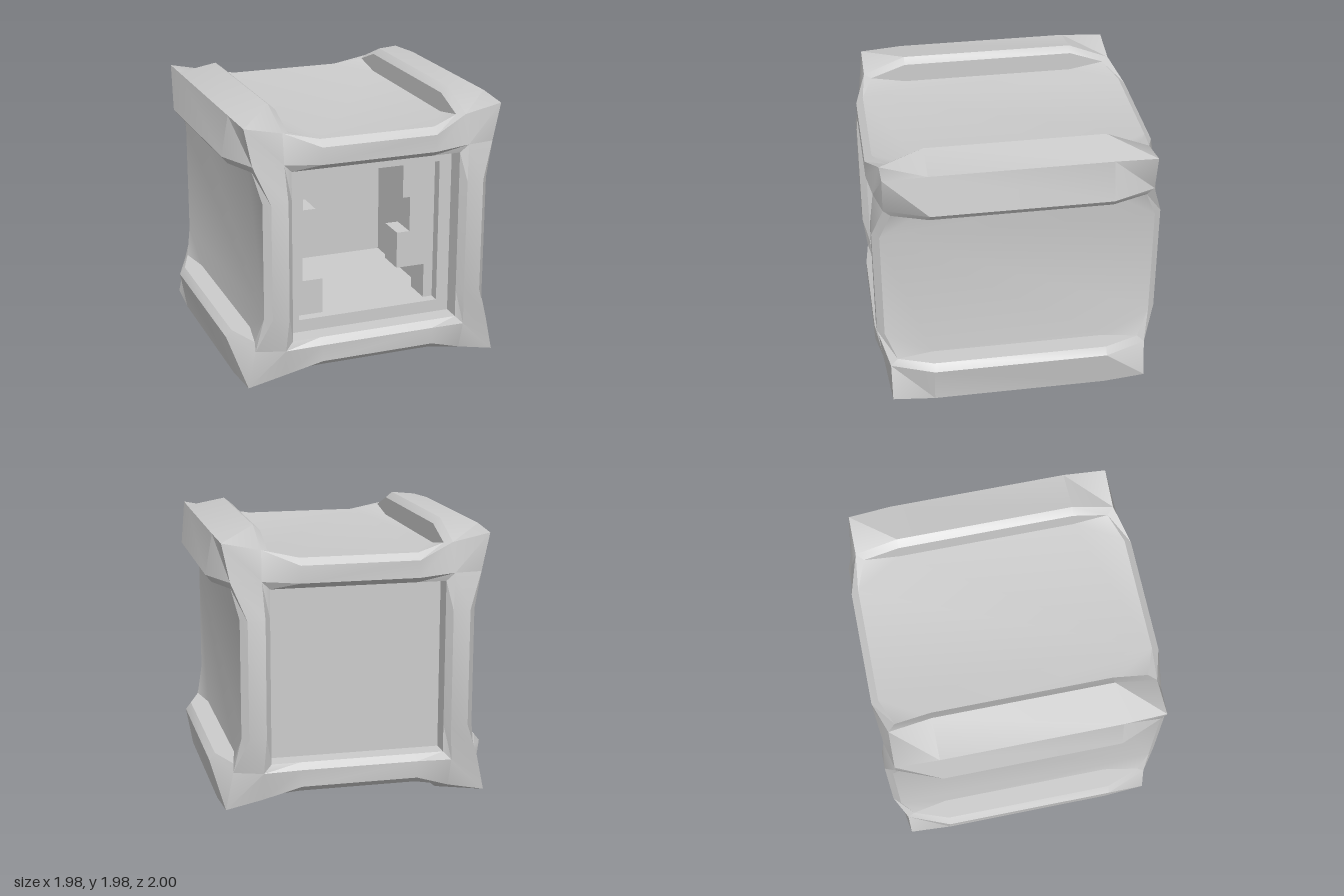
import * as THREE from 'three';
import { toCreasedNormals } from 'three/addons/utils/BufferGeometryUtils.js';

const H = 0.99; // half height

// Geometry from convex polygons, corners counter-clockwise
function polyGeometry(polys) {
  const pos = [];
  for (const p of polys) {
    for (let i = 1; i < p.length - 1; i++) {
      const [a, b, c] = [p[0], p[i], p[i + 1]].map((v) => new THREE.Vector3(...v));
      const area = b.clone().sub(a).cross(c.clone().sub(a)).length();
      if (area > 1e-7) pos.push(...p[0], ...p[i], ...p[i + 1]);
    }
  }
  const g = new THREE.BufferGeometry();
  g.setAttribute('position', new THREE.Float32BufferAttribute(pos, 3));
  return toCreasedNormals(g, 0.45);
}

// Quads between neighbouring sections
function loft(sections) {
  const polys = [];
  for (let i = 0; i < sections.length - 1; i++) {
    const s = sections[i], t = sections[i + 1];
    for (let j = 0; j < s.length - 1; j++) polys.push([s[j + 1], t[j + 1], t[j], s[j]]);
  }
  return polys;
}

const mirrorX = (s) => s.map(([x, y, z]) => [-x, y, z]);
const mirrorZ = (s) => s.map(([x, y, z]) => [x, y, -z]);

export function createModel() {
  const model = new THREE.Group();
  const mat = new THREE.MeshStandardMaterial({ color: 0xcccccc });
  const add = (parent, name, geo) => {
    const m = new THREE.Mesh(geo, mat);
    m.name = name;
    parent.add(m);
    return m;
  };
  const fourAround = (parent, name, geo) => {
    for (let i = 0; i < 4; i++) add(parent, name, geo).rotation.z = (i * Math.PI) / 2;
  };

  // Frame bar: outer bevel, front face, inner chamfer, recess wall
  const corner = [[0.61, 0.86, 0.87], [0.66, 0.87, 0.92], [0.667, 0.667, 0.97], [0.61, 0.61, 0.95], [0.61, 0.61, 0.82]];
  const middle = [[0.41, 0.815, 0.95], [0.41, 0.77, 1], [0.41, 0.65, 1], [0.41, 0.61, 0.95], [0.41, 0.61, 0.82]];
  const tip = [0.925, 0.925, 0.92];
  const bar = polyGeometry([
    ...loft([mirrorX(corner), mirrorX(middle), middle, corner]),
    [corner[2], [0.87, 0.66, 0.92], tip, corner[1]],
  ]);
  for (const [name, turn] of [['frontFrame', 0], ['backFrame', Math.PI]]) {
    const frame = new THREE.Group();
    frame.name = name;
    frame.rotation.y = turn;
    fourAround(frame, 'frameBar', bar);
    model.add(frame);
  }

  // Corner beams running front to back, tapering into the frame corners
  const half = [[0.61, 0.815], [0.61, 0.95], [0.66, H], [0.94, 0.94], [H, 0.66], [0.95, 0.61], [0.815, 0.61]];
  const beamMid = half.map(([x, y]) => [x, y, 0.62]);
  const beamEnd = [corner[0], corner[0], corner[1], tip, [0.87, 0.66, 0.92], [0.86, 0.61, 0.87], [0.86, 0.61, 0.87]];
  const beam = polyGeometry(loft([beamEnd, beamMid, mirrorZ(beamMid), mirrorZ(beamEnd)]).map((p) => p.reverse()));
  // loft runs front to back, so each quad is turned to face outward
  fourAround(model, 'cornerBeam', orientOutward(beam));

  // Outer panels with lifted corners
  const y = 0.815;
  const panel = [[
    [-0.41, y, 0.95], [0.41, y, 0.95], [0.61, y, 0.62], [0.61, y, -0.62],
    [0.41, y, -0.95], [-0.41, y, -0.95], [-0.61, y, -0.62], [-0.61, y, 0.62],
  ]];
  for (const sx of [-1, 1]) {
    for (const sz of [-1, 1]) {
      const tri = [[0.41 * sx, y, 0.95 * sz], [0.61 * sx, 0.86, 0.87 * sz], [0.61 * sx, y, 0.62 * sz]];
      panel.push(sx * sz > 0 ? tri : tri.reverse());
    }
  }
  fourAround(model, 'sidePanel', polyGeometry(panel));

  // Closed back panel
  const back = add(model, 'backPanel', new THREE.PlaneGeometry(1.22, 1.22));
  back.position.z = -0.82;
  back.rotation.y = Math.PI;

  // Front panel ring around the opening
  const square = (path, r) => path.moveTo(-r, -r).lineTo(r, -r).lineTo(r, r).lineTo(-r, r).closePath();
  const ring = square(new THREE.Shape(), 0.61);
  ring.holes.push(square(new THREE.Path(), 0.52));
  add(model, 'openingRing', new THREE.ShapeGeometry(ring)).position.z = 0.82;

  // Inner chamber
  const c = 0.52, zb = -0.27;
  fourAround(model, 'chamberWall', polyGeometry([[[-c, -c, 0.82], [c, -c, 0.82], [c, -c, zb], [-c, -c, zb]]]));
  add(model, 'chamberBack', new THREE.PlaneGeometry(2 * c, 2 * c)).position.z = zb;

  // Stepped blocks on both chamber walls, top to bottom
  const levels = [0.52, 0.255, 0, -0.265, -0.52];
  const reach = { leftBlock: [0.28, 0.335, 0.24, 0.45], rightBlock: [-0.46, -0.37, -0.465, -0.32] };
  for (const [name, ends] of Object.entries(reach)) {
    const wall = Math.sign(ends[0]) * c;
    ends.forEach((x, i) => {
      const b = add(model, name, new THREE.BoxGeometry(Math.abs(wall - x), levels[i] - levels[i + 1], 0.21));
      b.position.set((wall + x) / 2, (levels[i] + levels[i + 1]) / 2, 0.64);
    });
  }

  model.position.y = H;
  const root = new THREE.Group();
  root.name = 'crate';
  root.add(model);
  return root;
}

// Flips the whole surface when its outer faces point toward the axis
function orientOutward(geo) {
  const p = geo.attributes.position, n = geo.attributes.normal;
  let sum = 0;
  for (let i = 0; i < p.count; i++) sum += n.getX(i) + n.getY(i);
  if (sum >= 0) return geo;
  const a = p.array;
  for (let i = 0; i < a.length; i += 9) {
    for (let k = 0; k < 3; k++) [a[i + 3 + k], a[i + 6 + k]] = [a[i + 6 + k], a[i + 3 + k]];
  }
  return toCreasedNormals(geo, 0.45);
}
